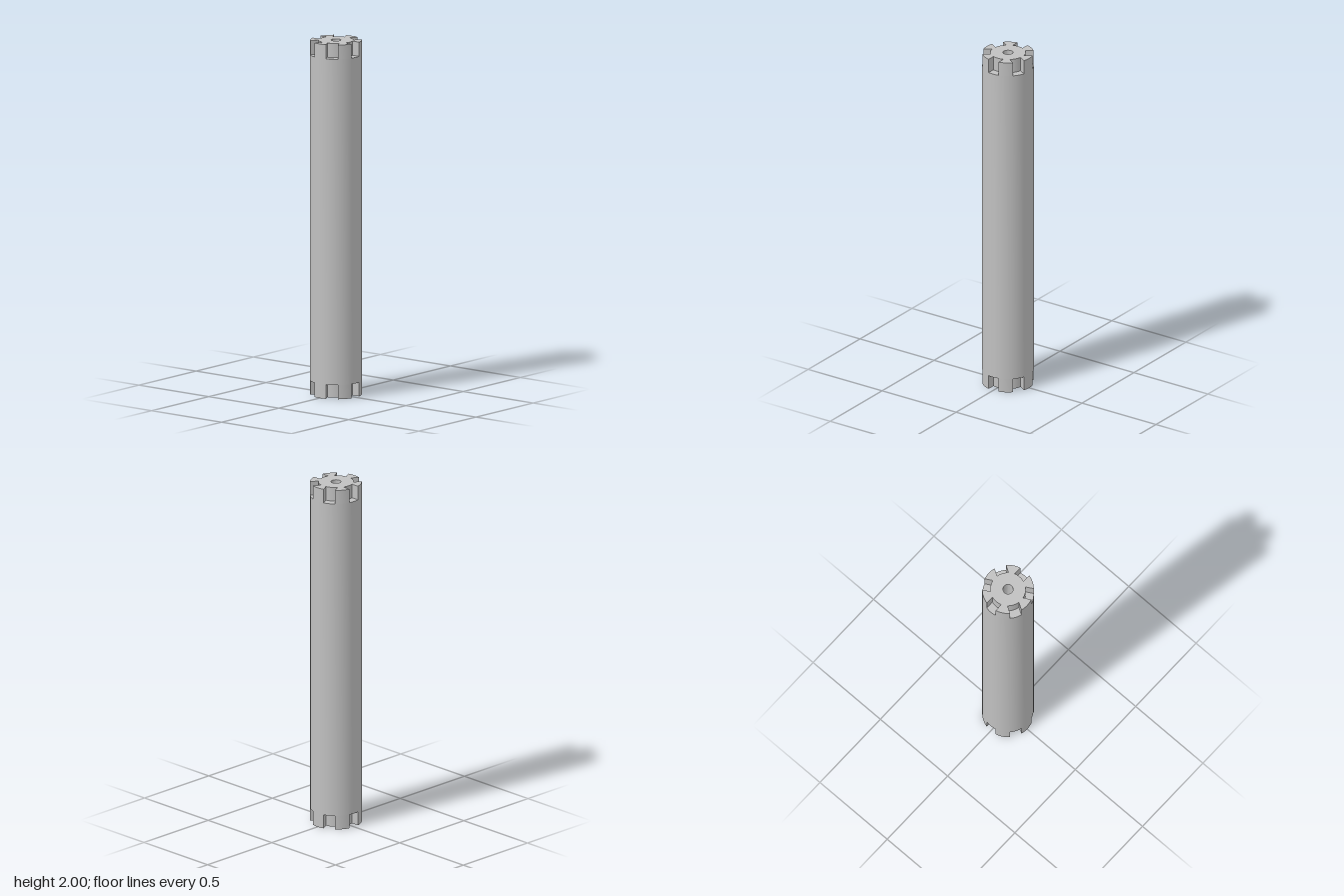
import * as THREE from 'three';
import { toCreasedNormals } from 'three/addons/utils/BufferGeometryUtils.js';

const R = 0.143, ROOT = 0.098, BORE = 0.028; // outer, slot floor and bore radii
const HALF = 0.033, DEPTH = 0.08, H = 2, SLOTS = 6;
const STEP = (Math.PI * 2) / SLOTS;
const outerHalf = Math.asin(HALF / R), rootHalf = Math.asin(HALF / ROOT);

// points along an arc, both ends included
function arc(radius, from, to, n) {
  return Array.from({ length: n + 1 }, (_, i) => {
    const a = from + ((to - from) * i) / n;
    return new THREE.Vector2(Math.cos(a) * radius, Math.sin(a) * radius);
  });
}

// angle of the middle of each slot
const slotAngles = Array.from({ length: SLOTS }, (_, k) => Math.PI / 2 + k * STEP);
const slotArc = (a) => arc(R, a - outerHalf, a + outerHalf, 5);
const toothArc = (a) => arc(R, a + outerHalf, a + STEP - outerHalf, 6);
const rootArc = (a) => arc(ROOT, a - rootHalf, a + rootHalf, 5);

function boredShape(points) {
  const shape = new THREE.Shape(points);
  shape.holes.push(new THREE.Path(arc(BORE, 0, -Math.PI * 2, 32).slice(0, -1)));
  return shape;
}

// upright extrusion from y0 to y1, without its bottom lid and optionally without its top lid
function extrude(shape, y0, y1, topLid) {
  const depth = y1 - y0;
  const src = new THREE.ExtrudeGeometry(shape, { depth, bevelEnabled: false });
  const p = src.attributes.position, kept = [];
  for (let i = 0; i < p.count; i += 3) {
    const z = [p.getZ(i), p.getZ(i + 1), p.getZ(i + 2)];
    const bottom = z.every((v) => v < 1e-5);
    const top = z.every((v) => v > depth - 1e-5);
    if (bottom || (top && !topLid)) continue;
    for (let j = i; j < i + 3; j++) kept.push(p.getX(j), p.getY(j), p.getZ(j));
  }
  const geo = new THREE.BufferGeometry();
  geo.setAttribute('position', new THREE.Float32BufferAttribute(kept, 3));
  geo.rotateX(-Math.PI / 2).translate(0, y0, 0);
  return toCreasedNormals(geo, 0.5);
}

export function createModel() {
  const model = new THREE.Group();
  model.name = 'slottedTube';
  const metal = new THREE.MeshStandardMaterial({ color: 0xc0c0c0 });
  metal.name = 'greyMetal';

  const add = (parent, name, geometry) => {
    const mesh = new THREE.Mesh(geometry, metal);
    mesh.name = name;
    parent.add(mesh);
  };

  // long plain tube between the slotted ends
  const round = slotAngles.flatMap((a) => [...slotArc(a).slice(0, -1), ...toothArc(a).slice(0, -1)]);
  add(model, 'tubeBody', extrude(boredShape(round), DEPTH, H - DEPTH, false));

  // castellated end and the floors of its slots
  const castle = slotAngles.flatMap((a) => [...rootArc(a), ...toothArc(a)]);
  const endGeo = extrude(boredShape(castle), H - DEPTH, H, true);
  const floorGeo = new THREE.ShapeGeometry(
    slotAngles.map((a) => new THREE.Shape([...slotArc(a), ...rootArc(a).reverse()]))
  );
  floorGeo.rotateX(-Math.PI / 2).translate(0, H - DEPTH, 0);

  for (const name of ['topEnd', 'bottomEnd']) {
    const end = new THREE.Group();
    end.name = name;
    add(end, 'teeth', endGeo);
    add(end, 'slotFloors', floorGeo);
    if (name === 'bottomEnd') {
      end.rotation.x = Math.PI;
      end.position.y = H;
    }
    model.add(end);
  }
  return model;
}
